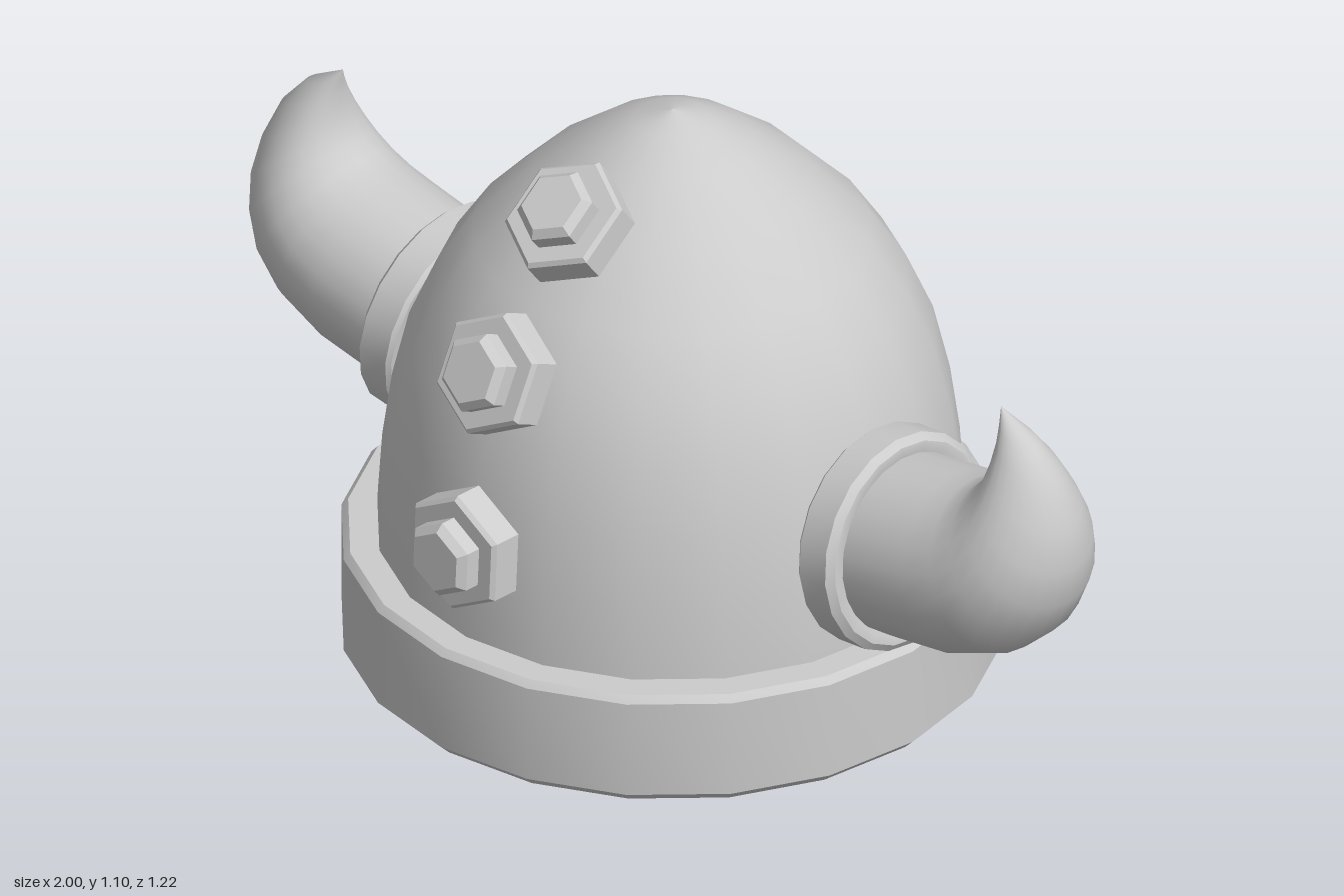
import * as THREE from 'three';
import { toCreasedNormals } from 'three/addons/utils/BufferGeometryUtils.js';

const SIDES = 20;
const grey = new THREE.MeshStandardMaterial({ color: 0xcccccc });
const greyFlat = new THREE.MeshStandardMaterial({ color: 0xcccccc, flatShading: true });

const vectors = (pts) => pts.map(([x, y]) => new THREE.Vector2(x, y));

function named(name, geometry, material = grey) {
  const mesh = new THREE.Mesh(geometry, material);
  mesh.name = name;
  return mesh;
}

// Turned part with smooth sides and sharp chamfers
const turned = (pts, crease = 0.5) =>
  toCreasedNormals(new THREE.LatheGeometry(vectors(pts), SIDES), crease);

// Horn skinned over rings; each section is [innerX, innerY, outerX, outerY, halfDepth]
function hornGeometry(sections, sides = 24) {
  const position = [], index = [];
  for (const [ix, iy, ox, oy, depth] of sections) {
    for (let j = 0; j < sides; j++) {
      const a = (j / sides) * Math.PI * 2;
      const t = (1 - Math.cos(a)) / 2;
      position.push(ix + (ox - ix) * t, iy + (oy - iy) * t, depth * Math.sin(a));
    }
  }
  for (let i = 0; i < sections.length - 1; i++) {
    for (let j = 0; j < sides; j++) {
      const a = i * sides + j, b = i * sides + (j + 1) % sides;
      index.push(a, b, a + sides, b, b + sides, a + sides);
    }
  }
  const geometry = new THREE.BufferGeometry();
  geometry.setAttribute('position', new THREE.Float32BufferAttribute(position, 3));
  geometry.setIndex(index);
  geometry.computeVertexNormals();
  return geometry;
}

// Hexagonal plate with a smaller chamfered hexagonal head, along local y
function bolt(y, z, tiltDegrees) {
  const group = new THREE.Group();
  group.name = 'bolt';
  const plate = vectors([[0, -0.035], [0.117, -0.035], [0.117, 0.02], [0.109, 0.028], [0, 0.028]]);
  const head = vectors([[0.075, 0.02], [0.075, 0.058], [0.06, 0.073], [0, 0.073]]);
  group.add(
    named('boltPlate', new THREE.LatheGeometry(plate, 6), greyFlat),
    named('boltHead', new THREE.LatheGeometry(head, 6), greyFlat),
  );
  group.position.set(0, y, z);
  group.rotation.x = THREE.MathUtils.degToRad(90 - tiltDegrees);
  return group;
}

// Collar and horn on the +x side
function hornAssembly(name) {
  const group = new THREE.Group();
  group.name = name;
  const collar = named('hornCollar', turned([
    [0.15, -0.042], [0.2, -0.042], [0.207, -0.034], [0.207, 0.03], [0.193, 0.042], [0.178, 0.042], [0.15, 0.03],
  ]));
  collar.position.set(0.55, 0.435, 0);
  collar.rotation.z = THREE.MathUtils.degToRad(-84);

  const horn = named('horn', hornGeometry([
    [0.48, 0.595, 0.52, 0.26, 0.17],
    [0.61, 0.615, 0.635, 0.275, 0.17],
    [0.7, 0.632, 0.77, 0.298, 0.17],
    [0.745, 0.642, 0.88, 0.345, 0.165],
    [0.775, 0.656, 0.95, 0.41, 0.155],
    [0.8, 0.68, 0.987, 0.485, 0.137],
    [0.815, 0.71, 1.0, 0.56, 0.113],
    [0.822, 0.742, 0.989, 0.64, 0.084],
    [0.825, 0.775, 0.955, 0.72, 0.054],
    [0.823, 0.803, 0.905, 0.778, 0.028],
    [0.82, 0.83, 0.82, 0.83, 0],
  ]));
  group.add(collar, horn);
  return group;
}

export function createModel() {
  const model = new THREE.Group();
  model.name = 'hornedHelmet';
  const body = new THREE.Group();
  body.name = 'helmetBody';
  body.position.z = -0.008;
  model.add(body);

  // Pointed dome
  body.add(named('dome', new THREE.LatheGeometry(vectors([
    [0.536, 0.19], [0.534, 0.25], [0.526, 0.37], [0.508, 0.5], [0.477, 0.632], [0.428, 0.746],
    [0.362, 0.847], [0.255, 0.958], [0.15, 1.04], [0.07, 1.085], [0, 1.104],
  ]), SIDES)));

  // Inner lining, facing inwards
  body.add(named('lining', turned([
    [0, 1.04], [0.13, 0.99], [0.27, 0.88], [0.38, 0.75], [0.44, 0.62], [0.485, 0.45], [0.505, 0.25], [0.52, 0.1],
  ], 0.6)));

  // Chamfered brow band
  body.add(named('browBand', turned([
    [0.52, 0.02], [0.54, 0], [0.58, 0], [0.6, 0.02], [0.6, 0.212], [0.588, 0.225], [0.52, 0.225], [0.52, 0.02],
  ])));

  // Horns
  const leftHorn = hornAssembly('leftHorn');
  const rightHorn = hornAssembly('rightHorn');
  rightHorn.rotation.y = Math.PI;
  body.add(leftHorn, rightHorn);

  // Row of bolts up the front
  model.add(bolt(0.417, 0.535, 3), bolt(0.752, 0.454, 26), bolt(0.99, 0.262, 53));

  return model;
}
